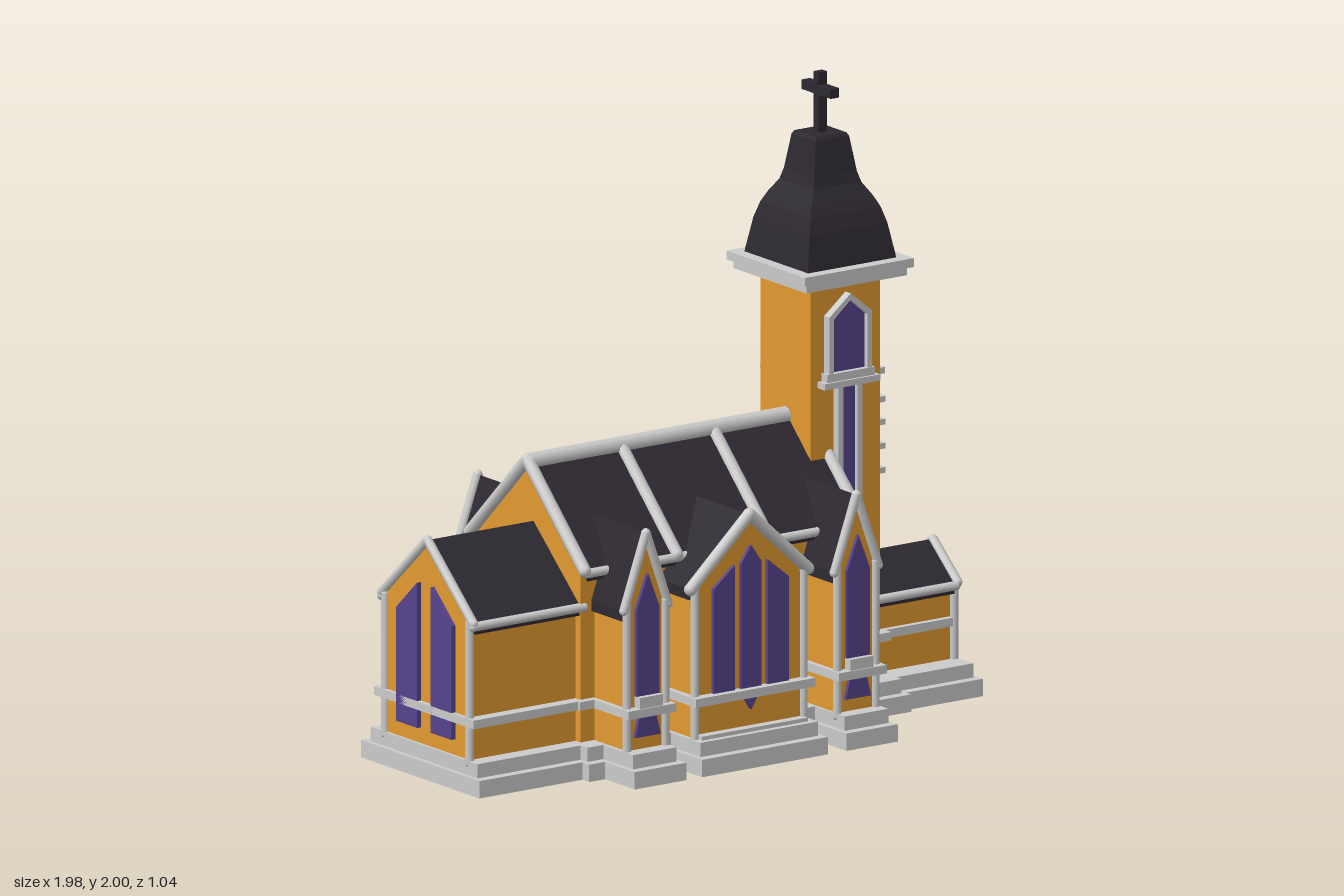
import * as THREE from 'three';

const mat = (color, flatShading = false) => new THREE.MeshStandardMaterial({ color, flatShading });
const STONE = mat(0xcccccc), WALL = mat(0xe39a30), ROOF = mat(0x2e2931), SPIRE = mat(0x2e2931, true);
const GLASS = mat(0x57438f), DOOR = mat(0xb08a48), FRAME = mat(0x6a5636);

function add(parent, name, geometry, material) {
  const mesh = new THREE.Mesh(geometry, material);
  mesh.name = name;
  parent.add(mesh);
  return mesh;
}

// Box given by its limits on each axis
function box(parent, name, material, x0, x1, y0, y1, z0, z1) {
  add(parent, name, new THREE.BoxGeometry(x1 - x0, y1 - y0, z1 - z0), material)
    .position.set((x0 + x1) / 2, (y0 + y1) / 2, (z0 + z1) / 2);
}

// Closed outline extruded along z, with an optional hole
function prism(parent, name, material, pts, z0, z1, hole) {
  const toV = (p) => new THREE.Vector2(p[0], p[1]);
  const shape = new THREE.Shape(pts.map(toV));
  if (hole) shape.holes.push(new THREE.Path(hole.map(toV)));
  const geo = new THREE.ExtrudeGeometry(shape, { depth: z1 - z0, bevelEnabled: false });
  add(parent, name, geo.translate(0, 0, z0), material);
}

// Round moulding through a list of points, with rounded joints
function moulding(parent, name, r, pts) {
  const v = pts.map((p) => new THREE.Vector3(...p));
  const group = new THREE.Group();
  group.name = name;
  parent.add(group);
  v.forEach((b, i) => {
    add(group, 'joint', new THREE.SphereGeometry(r, 10, 8), STONE).position.copy(b);
    if (!i) return;
    const a = v[i - 1], d = b.clone().sub(a);
    const rod = add(group, 'rod', new THREE.CylinderGeometry(r, r, d.length(), 10), STONE);
    rod.position.copy(a).lerp(b, 0.5);
    rod.quaternion.setFromUnitVectors(new THREE.Vector3(0, 1, 0), d.normalize());
  });
}

// Gabled block running along local z: w = wall half width, W = roof half width
function gabled(parent, name, { z0, z1, w, W, eave, ridge, ends = [], ribs = [], r = 0.015, eaveTrim, posts }) {
  const g = new THREE.Group();
  g.name = name;
  parent.add(g);
  const t = 0.035, wallTop = eave + (ridge - eave) * (1 - w / W) - t / 2;
  prism(g, 'walls', WALL, [[-w, 0.08], [w, 0.08], [w, wallTop], [0, ridge - t / 2], [-w, wallTop]], z0, z1);
  prism(g, 'roof', ROOF, [[-W, eave - t], [0, ridge - t], [W, eave - t], [W, eave], [0, ridge], [-W, eave]], z0 + 0.004, z1 - 0.004);
  for (const z of [...ends, ...ribs])
    moulding(g, 'roofRib', r, [[-W, eave, z], [0, ridge, z], [W, eave, z]]);
  for (const s of [-1, 1]) {
    if (eaveTrim) moulding(g, 'eaveTrim', 0.015, [[s * W, eave - 0.01, z0], [s * W, eave - 0.01, z1]]);
    if (posts) for (const z of ends) moulding(g, 'cornerPost', 0.014, [[s * w, 0.09, z], [s * w, wallTop, z]]);
  }
  return g;
}

// Pointed pentagon outline
const pointed = (u, w, y0, y1, top) => [[u - w, y0], [u + w, y0], [u + w, y1], [u, top], [u - w, y1]];

export function createModel() {
  const model = new THREE.Group();
  model.name = 'church';

  // Stepped plinth and belt course: [x0, x1, z0, z1] of the lower step
  const plots = [
    [-0.99, -0.57, -0.29, 0.33], [-0.6, 0.5, -0.365, 0.365],
    [-0.54, -0.345, -0.52, 0.52], [-0.285, 0.19, -0.52, 0.52], [0.26, 0.455, -0.52, 0.52],
    [0.4, 0.7, -0.25, 0.25], [0.5, 0.99, -0.225, 0.225],
  ];
  for (const [x0, x1, z0, z1] of plots) {
    box(model, 'plinthLower', STONE, x0, x1, 0, 0.055, z0, z1);
    box(model, 'plinthUpper', STONE, x0 + 0.015, x1 - 0.015, 0.055, 0.1, z0 + 0.03, z1 - 0.03);
  }
  const belts = [
    [-0.98, -0.57, -0.235, 0.285], [-0.585, 0.49, -0.295, 0.295],
    [-0.53, -0.35, -0.475, 0.475], [-0.275, 0.175, -0.475, 0.475], [0.265, 0.445, -0.475, 0.475],
    [0.4, 0.69, -0.16, 0.16], [0.6, 0.945, -0.13, 0.13],
  ];
  for (const [x0, x1, z0, z1] of belts) box(model, 'beltCourse', STONE, x0, x1, 0.208, 0.235, z0, z1);

  // Main hall, rear annex and entrance porch run along x
  const alongX = new THREE.Group();
  alongX.name = 'lengthwiseBlocks';
  alongX.rotation.y = Math.PI / 2;
  model.add(alongX);
  gabled(alongX, 'nave', {
    z0: -0.565, z1: 0.475, w: 0.27, W: 0.3, eave: 0.65, ridge: 0.94,
    ends: [-0.57, 0.478], ribs: [-0.222, 0.125], r: 0.02, eaveTrim: true,
  });
  moulding(alongX, 'ridgeBeam', 0.028, [[0, 0.932, -0.56], [0, 0.932, 0.42]]);
  const annex = gabled(alongX, 'annex', {
    z0: -0.965, z1: -0.55, w: 0.22, W: 0.24, eave: 0.535, ridge: 0.75,
    ends: [-0.965], eaveTrim: true, posts: true,
  });
  annex.position.x = -0.025;
  for (const s of [-1, 1])
    prism(annex, 'annexWindow', GLASS, [[s * 0.035, 0.15], [s * 0.145, 0.15], [s * 0.145, 0.51], [s * 0.035, 0.61]], -0.98, -0.95);
  const porch = gabled(alongX, 'porch', {
    z0: 0.6, z1: 0.955, w: 0.11, W: 0.13, eave: 0.345, ridge: 0.455,
    ends: [0.962], eaveTrim: true, posts: true,
  });
  prism(porch, 'doorFrame', FRAME, pointed(0, 0.085, 0.125, 0.335, 0.4), 0.95, 0.972, pointed(0, 0.068, 0.142, 0.325, 0.38));
  prism(porch, 'door', DOOR, pointed(0, 0.075, 0.13, 0.33, 0.39), 0.95, 0.963);
  for (const u of [-0.025, 0.025])
    box(porch, 'doorBar', FRAME, u - 0.004, u + 0.004, 0.14, 0.35, 0.95, 0.97);

  // Cross gables reach through the nave to both sides
  const sides = [-0.44, 0.44];
  const centre = gabled(model, 'centreGable', {
    z0: -0.44, z1: 0.44, w: 0.205, W: 0.222, eave: 0.575, ridge: 0.78, ends: sides, r: 0.02, posts: true,
  });
  centre.position.x = -0.05;
  for (const z of sides) {
    prism(centre, 'middleWindow', GLASS, [[0, 0.165], [0.038, 0.225], [0.038, 0.63], [0, 0.685], [-0.038, 0.63], [-0.038, 0.225]], z - 0.012, z + 0.012);
    for (const s of [-1, 1])
      prism(centre, 'sideWindow', GLASS, [[s * 0.062, 0.225], [s * 0.142, 0.225], [s * 0.142, 0.565], [s * 0.062, 0.63]], z - 0.012, z + 0.012);
    box(centre, 'sill', STONE, -0.2, 0.2, 0.095, 0.112, z - 0.03, z + 0.03);
  }
  for (const x of [-0.44, 0.355]) {
    const g = gabled(model, 'lancetGable', {
      z0: -0.44, z1: 0.44, w: 0.072, W: 0.083, eave: 0.545, ridge: 0.78, ends: sides, r: 0.015, posts: true,
    });
    g.position.x = x;
    for (const z of sides) {
      prism(g, 'lancetWindow', GLASS, pointed(0, 0.043, 0.27, 0.545, 0.655), z - 0.012, z + 0.012);
      prism(g, 'lowerPane', GLASS, [[-0.048, 0.14], [0.048, 0.14], [0.03, 0.21], [-0.03, 0.21]], z - 0.012, z + 0.012);
      box(g, 'windowSill', STONE, -0.043, 0.043, 0.225, 0.27, z - 0.03, z + 0.03);
    }
  }

  // Bell tower
  const tower = new THREE.Group();
  tower.name = 'tower';
  tower.position.x = 0.537;
  model.add(tower);
  const h = 0.131;
  box(tower, 'shaft', WALL, -h, h, 0.08, 1.38, -h, h);
  box(tower, 'corniceLower', STONE, -0.19, 0.19, 1.365, 1.392, -0.19, 0.19);
  box(tower, 'corniceUpper', STONE, -0.206, 0.206, 1.392, 1.42, -0.206, 0.206);

  // Belfry window and tall strips on front, right and back faces
  [0, Math.PI / 2, Math.PI].forEach((angle, i) => {
    const f = new THREE.Group();
    f.name = 'towerFace';
    f.rotation.y = angle;
    tower.add(f);
    prism(f, 'belfryFrame', STONE, pointed(0, 0.08, 1.07, 1.265, 1.33), h - 0.01, h + 0.028, pointed(0, 0.064, 1.085, 1.255, 1.31));
    prism(f, 'belfryWindow', GLASS, pointed(0, 0.07, 1.08, 1.26, 1.32), h - 0.01, h + 0.012);
    box(f, 'belfrySill', STONE, -0.09, 0.09, 1.06, 1.085, h - 0.01, h + 0.03);
    box(f, 'belfryLedge', STONE, -0.105, 0.105, 1.04, 1.06, h - 0.01, h + 0.038);
    const bottom = i === 1 ? 0.4 : 0.23;
    for (const s of [-1, 1])
      box(f, 'pilaster', STONE, s * 0.036 - 0.009, s * 0.036 + 0.009, bottom, 1.045, h - 0.01, h + 0.027);
    if (i !== 1) box(f, 'tallWindow', GLASS, -0.03, 0.03, bottom, 1.045, h - 0.01, h + 0.012);
    else for (const y of [0.735, 0.812, 0.888, 0.96])
      box(f, 'crossBar', STONE, -0.108, 0.108, y - 0.009, y + 0.009, h - 0.01, h + 0.038);
  });

  // Bell-shaped four-sided spire
  const profile = [[0.167, 1.415], [0.165, 1.43], [0.147, 1.53], [0.132, 1.58], [0.115, 1.615], [0.09, 1.655], [0.08, 1.69], [0.063, 1.8], [0.057, 1.81], [0, 1.81]];
  const spire = new THREE.LatheGeometry(profile.map(([r, y]) => new THREE.Vector2(r * Math.SQRT2, y)), 4);
  add(tower, 'spire', spire.rotateY(Math.PI / 4), SPIRE);
  box(tower, 'crossPost', ROOF, -0.016, 0.016, 1.8, 2, -0.013, 0.013);
  box(tower, 'crossArm', ROOF, -0.016, 0.016, 1.93, 1.96, -0.076, 0.076);

  return model;
}
